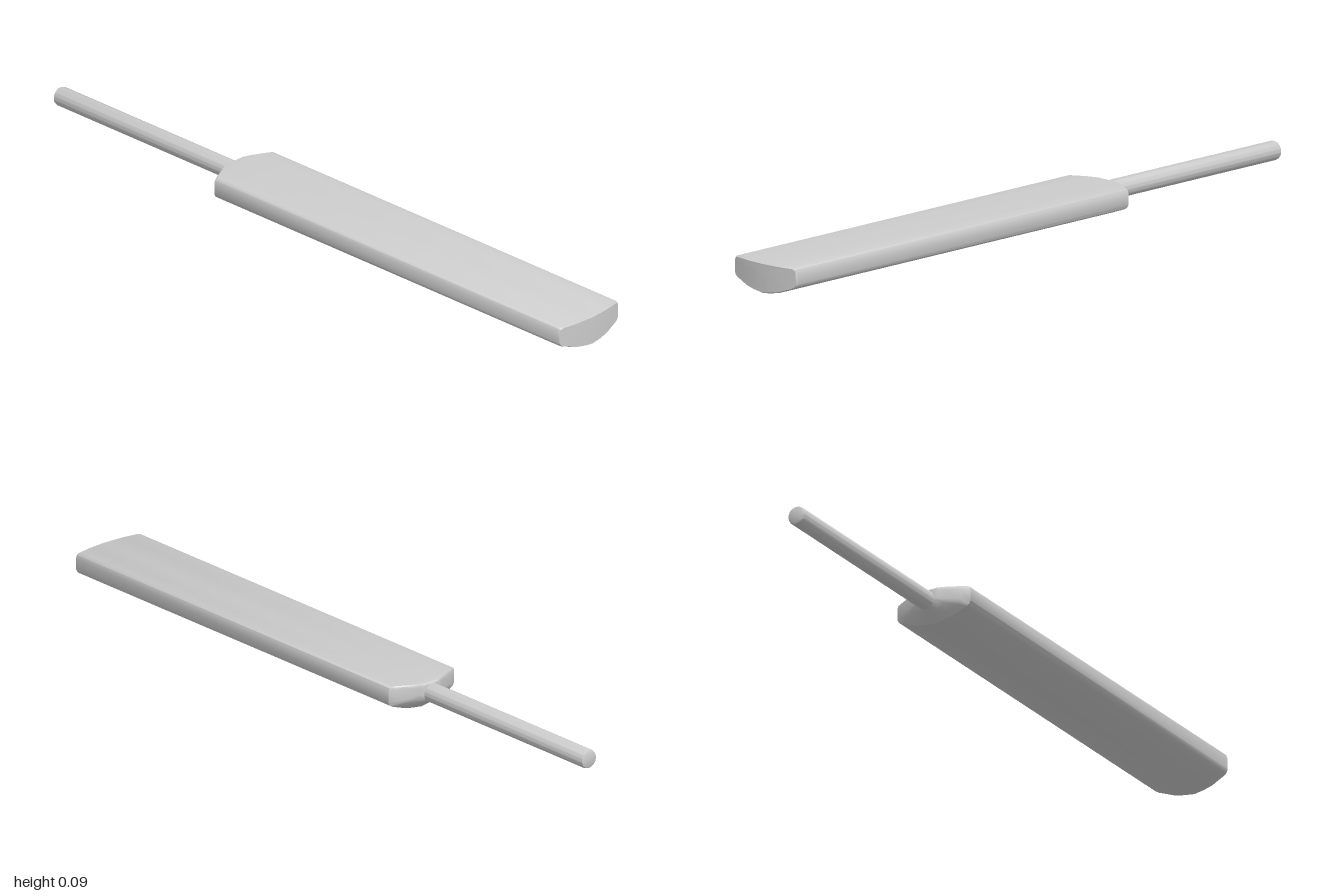
import * as THREE from 'three';
import { toCreasedNormals } from 'three/addons/utils/BufferGeometryUtils.js';

const HALF_WIDTH = 0.118;
const THICKNESS = 0.086;

// Right half of the blade cross-section, from the spine ridge up to the flat face
const half = [
  [0, 0], [0.03, 0.004], [0.06, 0.01], [0.104, 0.026], [0.113, 0.031], [0.118, 0.04],
  [0.118, 0.074], [0.1145, 0.0825], [0.106, 0.086], [0.06, 0.086], [0, 0.086],
];
const profile = [...half, ...half.slice(1, -1).reverse().map(([x, y]) => [-x, y])];

// Blade stations along z: width scale, floor, top and whether the toe bow applies
const stations = [
  { z: -0.35, w: 0, floor: 0.054, top: 0.054 },
  { z: -0.35, w: 0.24, floor: 0.028, top: 0.08 },
  { z: -0.345, w: 0.32, floor: 0.025, top: 0.085 },
  { z: -0.335, w: 0.52, floor: 0.018, top: THICKNESS },
  { z: -0.32, w: 0.8, floor: 0.009, top: THICKNESS },
  { z: -0.307, w: 1, floor: 0, top: THICKNESS },
  { z: 0.994, w: 1, floor: 0, top: THICKNESS, bow: 0.015 },
  { z: 1, w: 0.975, floor: 0.003, top: 0.083, bow: 0.015 },
  { z: 1, w: 0.65, floor: 0.018, top: 0.07, bow: 0.015 },
  { z: 1, w: 0.3, floor: 0.034, top: 0.06, bow: 0.015 },
  { z: 1, w: 0, floor: 0.047, top: 0.047, bow: 0.015 },
];

function bladeGeometry() {
  const positions = [];
  const index = [];
  const n = profile.length;
  stations.forEach(({ z, w, floor, top, bow = 0 }, i) => {
    profile.forEach(([px, py], j) => {
      const x = px * w;
      const y = floor + (py / THICKNESS) * (top - floor);
      positions.push(x, y, z - bow * (x / HALF_WIDTH) ** 2);
      if (i === stations.length - 1) return;
      const a = i * n + j;
      const b = i * n + (j + 1) % n;
      if (i > 0) index.push(a, b, b + n);
      if (i < stations.length - 2) index.push(a, b + n, a + n);
      // The collapsed first ring only needs its outer triangles
      if (i === 0) index.pop(), index.pop(), index.pop(), index.push(a, b + n, a + n);
    });
  });
  const geometry = new THREE.BufferGeometry();
  geometry.setAttribute('position', new THREE.Float32BufferAttribute(positions, 3));
  geometry.setIndex(index);
  return toCreasedNormals(geometry, 0.6);
}

// Round grip with a softly bevelled butt end
function handleGeometry() {
  const points = [[0, 0.32], [0.027, 0.32], [0.027, 0.992], [0.025, 0.998], [0.021, 1], [0, 1]]
    .map(([r, y]) => new THREE.Vector2(r, y));
  const geometry = new THREE.LatheGeometry(points, 32);
  geometry.rotateX(-Math.PI / 2);
  geometry.translate(0, 0.054, 0);
  return toCreasedNormals(geometry, 0.7);
}

export function createModel() {
  const material = new THREE.MeshStandardMaterial({ color: 0xcccccc });
  const group = new THREE.Group();
  group.name = 'bat';

  const blade = new THREE.Mesh(bladeGeometry(), material);
  blade.name = 'blade';

  const handle = new THREE.Mesh(handleGeometry(), material);
  handle.name = 'handle';

  group.add(blade, handle);
  return group;
}
